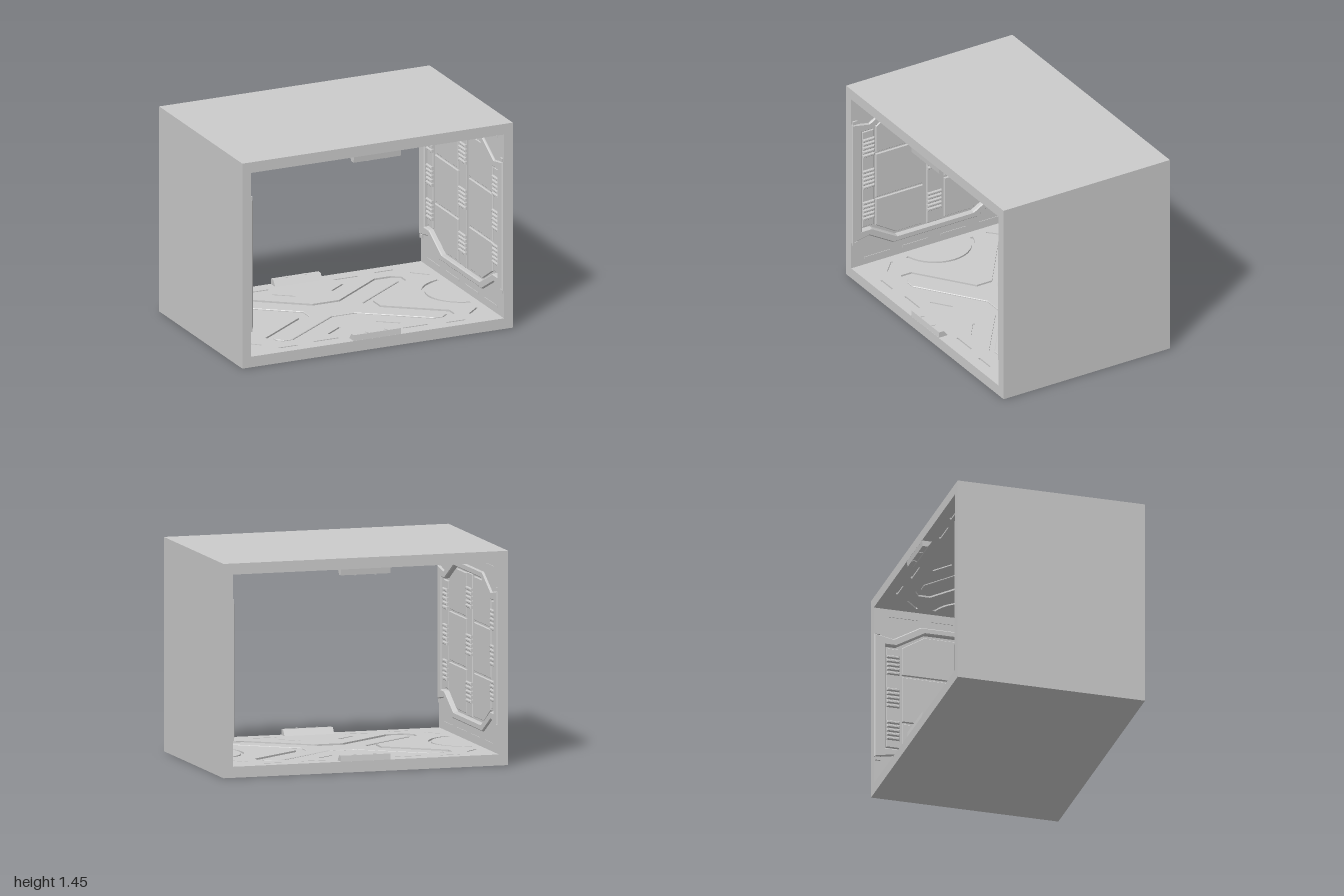
import * as THREE from 'three';

const W = 1, H = 1.45, D = 0.655; // half width, height, half depth
const material = new THREE.MeshStandardMaterial({ color: 0xcccccc, flatShading: true });
const toVec = (pts) => pts.map(([x, y]) => new THREE.Vector2(x, y));
const rect = (x0, y0, x1, y1) => [[x0, y0], [x1, y0], [x1, y1], [x0, y1]];

// Outline mirrored into four quadrants about (0, cy)
function fourfold(q, cy = 0) {
  const rev = [...q].reverse();
  return [
    ...q.map(([x, y]) => [x, cy + y]),
    ...rev.map(([x, y]) => [-x, cy + y]),
    ...q.map(([x, y]) => [-x, cy - y]),
    ...rev.map(([x, y]) => [x, cy - y]),
  ];
}

// Flat relief piece rising from height a to height b, with a bevelled upper edge
function slab(pts, a, b, holes = [], bevel = 0) {
  const shape = new THREE.Shape(toVec(pts));
  shape.holes = holes.map((h) => new THREE.Path(toVec(h)));
  return new THREE.ExtrudeGeometry(shape, {
    depth: b - a - bevel, bevelEnabled: bevel > 0, bevelSize: bevel,
    bevelThickness: bevel, bevelOffset: -bevel, bevelSegments: 1,
  }).translate(0, 0, a);
}

function add(group, name, geometry) {
  const mesh = new THREE.Mesh(geometry, material);
  mesh.name = name;
  group.add(mesh);
  return mesh;
}

// Half-ring groove next to a side wall
function arcBand(side, r0, r1) {
  const pts = [];
  for (const [r, dir] of [[r1, 1], [r0, -1]]) {
    for (let i = 0; i <= 16; i++) {
      const t = dir * (-1.35 + (2.7 * i) / 16);
      pts.push([side * (0.93 - r * Math.cos(t)), r * Math.sin(t)]);
    }
  }
  return pts;
}

// Slanted slot groove
function slot(x, y, len, angle, w = 0.007) {
  const c = Math.cos(angle), s = Math.sin(angle), l = len / 2;
  return rect(-l, -w, l, w).map(([a, b]) => [x + a * c - b * s, y + a * s + b * c]);
}

// Floor or ceiling deck: cross-shaped channel, arcs and slots cut into a plate
function makeDeck(name) {
  const deck = new THREE.Group();
  deck.name = name;
  const cross = fourfold([[0.3, 0.06], [0.68, 0.34], [0.68, 0.42], [0.62, 0.46], [0.5, 0.46], [0.1, 0.16]]);
  const island = fourfold([[0.22, 0.05], [0.63, 0.355], [0.63, 0.395], [0.59, 0.43], [0.52, 0.43], [0.08, 0.11]]);
  const holes = [cross];
  for (const sx of [-1, 1]) {
    holes.push(arcBand(sx, 0.25, 0.27));
    for (const sy of [-1, 1]) {
      holes.push(slot(sx * 0.33, sy * 0.55, 0.18, 0));
      holes.push(slot(sx * 0.62, sy * 0.57, 0.14, 0));
      holes.push(slot(sx * 0.82, sy * 0.42, 0.14, sx * sy * -0.75));
      holes.push(slot(sx * 0.2, sy * 0.4, 0.16, sx * sy * 0.64));
    }
  }
  const plate = slab(rect(-0.955, -D, 0.955, D), 0.063, 0.075, holes);
  add(deck, 'deckPlate', plate.rotateX(-Math.PI / 2));
  add(deck, 'crossPanel', slab(island, 0.06, 0.072, [], 0.004).rotateX(-Math.PI / 2));

  // Latch blocks at both thresholds
  const profile = [[0.655, 0.07], [0.65, 0.115], [0.615, 0.115], [0.58, 0.07]];
  for (const s of [1, -1]) {
    const latch = new THREE.Group();
    latch.name = 'thresholdLatch';
    const block = slab(profile, -0.175, 0.175).rotateY(-Math.PI / 2);
    add(latch, 'latchBlock', block);
    for (const x of [-0.07, 0.07]) {
      add(latch, 'latchPin', new THREE.BoxGeometry(0.012, 0.008, 0.03)).position.set(x, 0.115, 0.632);
    }
    latch.rotation.y = s > 0 ? 0 : Math.PI;
    deck.add(latch);
  }
  return deck;
}

// Side wall: local x runs along the depth, local z points into the room
function makeWall(name) {
  const wall = new THREE.Group();
  wall.name = name;
  const inner = new THREE.Group();
  inner.rotation.y = Math.PI / 2;
  inner.name = 'wallRelief';
  wall.add(inner);
  const cy = H / 2;
  const outer = fourfold([[D, 0.455], [0.52, 0.43], [0.33, 0.54]], cy);
  const opening = fourfold([[0.575, 0.38], [0.5, 0.38], [0.3, 0.495]], cy);
  add(inner, 'wallPlate', slab(rect(-D, 0.063, D, 1.387), 0.045, 0.065, [opening]));
  add(inner, 'raisedFrame', slab(outer, 0.065, 0.08, [opening], 0.007));

  // Stacked panels in two columns, outer corners cut to follow the frame
  const rows = [
    [[0.085, 0.25], [0.3, 0.25], [0.455, 0.345], [0.455, 0.545], [0.085, 0.545]],
    rect(0.085, 0.56, 0.455, 0.89),
    [[0.085, 0.905], [0.455, 0.905], [0.455, 1.105], [0.3, 1.2], [0.085, 1.2]],
  ];
  for (const s of [-1, 1]) {
    for (const row of rows) {
      add(inner, 'wallPanel', slab(row.map(([x, y]) => [s * x, y]), 0.045, 0.058, [], 0.004));
    }
  }

  // Ribbed columns: a backing strip with clusters of crossbars
  const columns = [[0, 0.055, 0.24, 1.21], [-0.52, 0.045, 0.36, 1.09], [0.52, 0.045, 0.36, 1.09]];
  for (const [x, hw, y0, y1] of columns) {
    add(inner, 'ribColumn', slab(rect(x - hw, y0, x + hw, y1), 0.045, 0.06, [], 0.004));
    for (const c of [-1, 0, 1]) {
      for (let i = -2; i <= 2; i++) {
        const y = cy + c * (y1 - y0) * 0.33 + i * 0.03;
        add(inner, 'rib', slab(rect(x - hw, y - 0.01, x + hw, y + 0.01), 0.055, 0.074, [], 0.005));
      }
    }
  }

  // Slots in the skirting, and bolts on the frame ends
  for (const s of [-1, 1]) {
    for (const x of [-0.45, -0.15, 0.15, 0.45]) {
      add(inner, 'skirtingStrip', slab(rect(x - 0.1, cy + s * 0.6 - 0.008, x + 0.1, cy + s * 0.6 + 0.008), 0.06, 0.069));
    }
    for (const x of [-0.63, 0.63]) {
      add(inner, 'frameBolt', new THREE.BoxGeometry(0.035, 0.025, 0.014)).position.set(x, cy + s * 0.465, 0.07);
    }
  }
  return wall;
}

export function createModel() {
  const model = new THREE.Group();
  model.name = 'corridorModule';

  // Outer casing, open at front and back
  add(model, 'casing', slab(rect(-W, 0, W, H), -D, D, [rect(-0.955, 0.063, 0.955, H - 0.063)]));

  const ceiling = makeDeck('ceiling');
  ceiling.rotation.z = Math.PI;
  ceiling.position.y = H;
  model.add(makeDeck('floor'), ceiling);

  const rightWall = makeWall('rightWall');
  rightWall.position.x = -W;
  const leftWall = makeWall('leftWall');
  leftWall.position.x = W;
  leftWall.rotation.y = Math.PI;
  model.add(rightWall, leftWall);
  return model;
}
